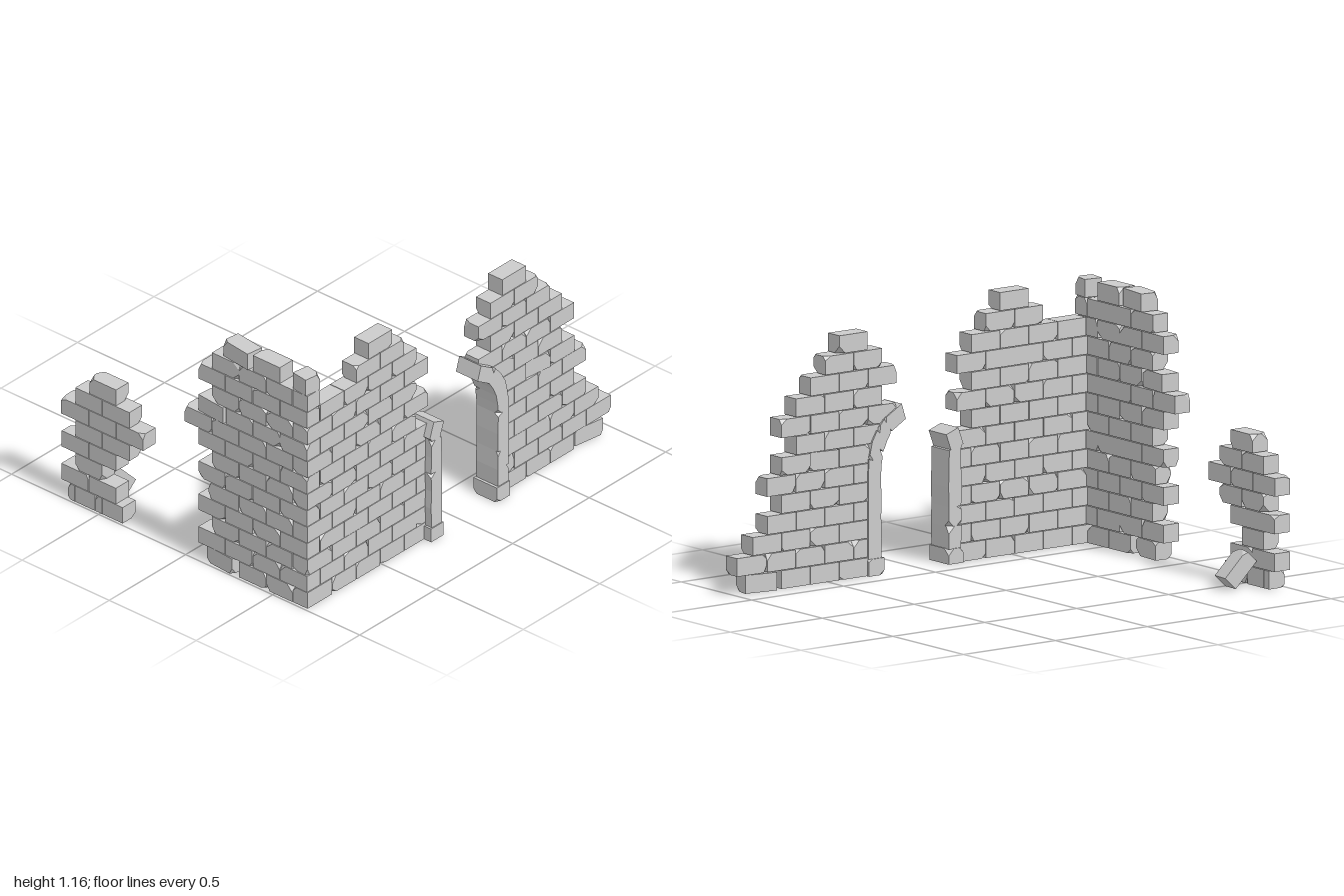
import * as THREE from 'three';
import { ConvexGeometry } from 'three/addons/geometries/ConvexGeometry.js';
import { mergeGeometries } from 'three/addons/utils/BufferGeometryUtils.js';

const H = 0.083;       // course height
const L = 0.157;       // brick length
const T = 0.085;       // wall thickness
const GAP = 0.0015;    // half joint
const FRONT_Z = 0.648; // centre line of the front walls
const SIDE_X = -0.948; // centre line of the side wall

let seed = 7;
function rand() {
  seed = (seed * 16807) % 2147483647;
  return seed / 2147483647;
}

// Stone from 8 corners (index bits: 1 = x, 2 = y, 4 = z); some corners are chipped off
function stone(corners, chance = 0.22) {
  const points = [];
  corners.forEach((c, i) => {
    if (rand() > chance) {
      points.push(c);
      return;
    }
    for (const bit of [1, 2, 4]) {
      const n = corners[i ^ bit];
      const cut = Math.min((0.012 + 0.022 * rand()) / c.distanceTo(n), 0.45);
      points.push(c.clone().lerp(n, cut));
    }
  });
  return new ConvexGeometry(points);
}

function block(sx, sy, sz, chance) {
  const corners = [];
  for (let i = 0; i < 8; i++) {
    corners.push(new THREE.Vector3(
      i & 1 ? sx / 2 : -sx / 2,
      i & 2 ? sy / 2 : -sy / 2,
      i & 4 ? sz / 2 : -sz / 2));
  }
  return stone(corners, chance);
}

const material = new THREE.MeshStandardMaterial({ color: 0xcccccc, flatShading: true });

function addMesh(parent, name, geometry) {
  const mesh = new THREE.Mesh(geometry, material);
  mesh.name = name;
  parent.add(mesh);
  return mesh;
}

// Wall in running bond. Each course is a list of spans [from, to, yaw], split on the brick grid.
function wall(name, courses, evenJoint, alongZ = false) {
  const group = new THREE.Group();
  group.name = name;
  courses.forEach((spans, row) => {
    const bricks = [];
    const joint = evenJoint + (row % 2) * L / 2;
    for (const [from, to, yaw = 0] of spans) {
      const cuts = [from];
      if (!yaw) {
        const first = joint + Math.ceil((from + 0.03 - joint) / L) * L;
        for (let j = first; j < to - 0.03; j += L) cuts.push(j);
      }
      cuts.push(to);
      for (let k = 0; k + 1 < cuts.length; k++) {
        const length = cuts[k + 1] - cuts[k] - 2 * GAP;
        const mid = (cuts[k] + cuts[k + 1]) / 2;
        const depth = T - 0.004 * rand();
        const g = alongZ
          ? block(depth, H - 2 * GAP, length)
          : block(length, H - 2 * GAP, depth);
        g.rotateY(yaw);
        g.translate(alongZ ? SIDE_X : mid, (row + 0.5) * H, alongZ ? mid : FRONT_Z);
        bricks.push(g);
      }
    }
    if (bricks.length) addMesh(group, 'brickCourse', mergeGeometries(bricks));
  });
  return group;
}

// Arch stones between successive joints [innerX, innerY, outerX, outerY]
function archStones(name, joints, depth) {
  const group = new THREE.Group();
  group.name = name;
  for (let k = 0; k + 1 < joints.length; k++) {
    const corners = [];
    for (let i = 0; i < 8; i++) {
      const j = joints[k + (i & 2 ? 1 : 0)];
      const o = i & 1 ? 2 : 0;
      corners.push(new THREE.Vector3(j[o], j[o + 1], FRONT_Z + 0.014 + (i & 4 ? depth / 2 : -depth / 2)));
    }
    addMesh(group, 'archStone', stone(corners, 0.12));
  }
  return group;
}

export function createModel() {
  seed = 7;
  const model = new THREE.Group();
  model.name = 'ruinedWalls';

  // Front wall right of the corner: odd courses leave room for the side wall's end brick
  const A = -0.99, B = -0.904;
  model.add(wall('frontWallWithCorner', [
    [[A, -0.2]], [[B, -0.2]], [[A, -0.2]], [[B, -0.2]], [[A, -0.2]], [[B, -0.2]], [[A, -0.198]],
    [[B, -0.276]], [[A, -0.198]], [[B, -0.276]], [[A, -0.198]], [[B, -0.276]],
    [[A, B], [-0.669, -0.355]],
    [[A, B, -0.14], [-0.59, -0.433]],
  ], -0.826));

  // Front wall beyond the doorway, stepping down to the ground
  model.add(wall('frontWallStepped', [
    [[0.285, 0.757], [0.78, 0.94, -0.15]],
    [[0.24, 0.998]], [[0.285, 0.914]], [[0.24, 0.835]], [[0.285, 0.757]], [[0.24, 0.835]],
    [[0.27, 0.442], [0.442, 0.598, -0.12], [0.599, 0.757]],
    [[0.207, 0.677]], [[0.128, 0.757]], [[0.207, 0.677]], [[0.128, 0.599]],
    [[0.207, 0.52]], [[0.285, 0.442]],
  ], 0.285));

  // Side wall running back from the corner
  const C = 0.605, D = 0.69;
  model.add(wall('sideWall', [
    [[0.11, 0.267, -0.08], [0.297, C]],
    [[0.063, D]], [[0.14, C]], [[0.063, D]], [[0.12, C]], [[0.063, D]], [[0.14, C]],
    [[0.063, D]], [[-0.017, C]],
    [[0.06, 0.217, -0.1], [0.22, D]],
    [[0.14, C]], [[0.063, D]], [[0.14, C]],
    [[0.203, 0.362, -0.13], [0.377, 0.534]],
  ], 0.14, true));

  // Isolated remnant of the side wall
  model.add(wall('sideWallRemnant', [
    [[-0.685, -0.528], [-0.528, -0.37]],
    [[-0.724, -0.408]], [[-0.645, -0.488]], [[-0.722, -0.408]], [[-0.645, -0.331]],
    [[-0.726, -0.253]], [[-0.645, -0.331]], [[-0.565, -0.408]],
  ], 0.14, true));

  // Broken arch on its standing jamb
  const arch = archStones('brokenArch', [
    [0.218, 0.075, 0.287, 0.075], [0.216, 0.16, 0.287, 0.16], [0.219, 0.25, 0.288, 0.25],
    [0.218, 0.34, 0.289, 0.34], [0.22, 0.44, 0.289, 0.44], [0.216, 0.49, 0.284, 0.515],
    [0.207, 0.54, 0.267, 0.59], [0.187, 0.585, 0.24, 0.637], [0.16, 0.625, 0.203, 0.682],
    [0.085, 0.67, 0.107, 0.739],
  ], 0.125);
  addMesh(arch, 'archBase', block(0.084, 0.075, 0.135, 0.12)).position.set(0.247, 0.0375, FRONT_Z + 0.014);
  model.add(arch);

  // Opposite jamb, with a tilted stone on top
  const jamb = archStones('doorJamb', [
    [-0.215, 0.065, -0.15, 0.065], [-0.22, 0.165, -0.148, 0.165], [-0.216, 0.25, -0.15, 0.25],
    [-0.22, 0.34, -0.148, 0.34], [-0.216, 0.42, -0.15, 0.42], [-0.216, 0.505, -0.152, 0.5],
    [-0.225, 0.525, -0.156, 0.5],
  ], 0.125);
  addMesh(jamb, 'jambBase', block(0.08, 0.067, 0.135, 0.12)).position.set(-0.185, 0.0335, FRONT_Z + 0.014);
  const cap = addMesh(jamb, 'jambCap', block(0.07, 0.08, 0.125, 0.12));
  cap.position.set(-0.182, 0.547, FRONT_Z + 0.014);
  cap.rotation.z = -0.35;
  model.add(jamb);

  // Fallen brick leaning on the remnant
  const fallen = addMesh(model, 'fallenBrick', block(0.155, 0.075, 0.083));
  fallen.position.set(-0.822, 0.085, -0.557);
  fallen.rotation.set(0, -0.08, -0.8);

  return model;
}
